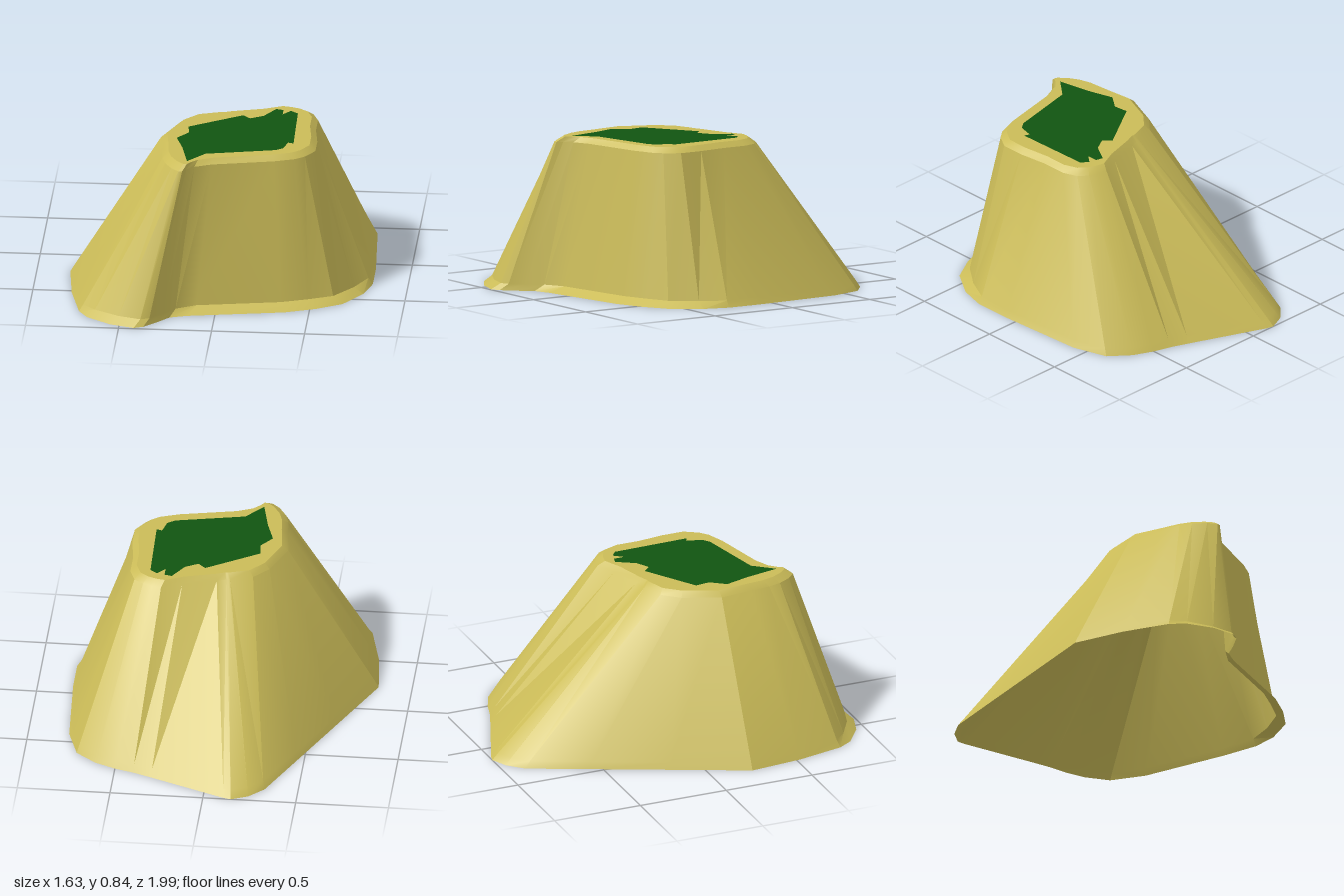
import * as THREE from 'three';
import { toCreasedNormals } from 'three/addons/utils/BufferGeometryUtils.js';

const BASE_Y = 0.004, FOOT_Y = 0.035, RIM_Y = 0.808, TOP_Y = 0.836;

// Ribs round the hill: base x, z, rim x, z, and how far the foot steps in from the base
const ribs = [
  [-0.15, -1.0, -0.03, -0.07, 0.04], [-0.11, -0.99, 0.02, -0.09, 0.04],
  [0.3, -0.82, 0.2, -0.14, 0.04], [0.4, -0.78, 0.31, -0.19, 0.04],
  [0.5, -0.75, 0.36, -0.18, 0.04], [0.61, -0.7, 0.41, -0.16, 0.04],
  [0.72, -0.61, 0.46, -0.12, 0.04], [0.78, -0.42, 0.49, -0.04, 0.06],
  [0.81, 0.07, 0.49, 0.1, 0.06], [0.81, 0.28, 0.51, 0.26, 0.08],
  [0.77, 0.42, 0.51, 0.39, 0.2], [0.67, 0.57, 0.46, 0.47, 0.25],
  [0.53, 0.65, 0.41, 0.51, 0.35], [0.37, 0.71, 0.3, 0.55, 0.36],
  [-0.15, 0.8, -0.03, 0.62, 0.38], [-0.24, 0.83, -0.12, 0.66, 0.25],
  [-0.3, 0.9, -0.16, 0.7, 0.2], [-0.37, 0.97, -0.18, 0.73, 0.16],
  [-0.42, 0.99, -0.2, 0.73, 0.15], [-0.55, 0.95, -0.24, 0.69, 0.14],
  [-0.68, 0.86, -0.28, 0.62, 0.1], [-0.73, 0.78, -0.3, 0.55, 0.05],
  [-0.79, 0.52, -0.31, 0.44, 0.04], [-0.82, 0.23, -0.33, 0.26, 0.04],
  [-0.64, -0.17, -0.25, 0.06, 0.04], [-0.46, -0.57, -0.17, -0.03, 0.04],
  [-0.32, -0.88, -0.05, -0.07, 0.04], [-0.24, -0.96, -0.04, -0.07, 0.04],
];

// Ragged outline of the grass, x and z
const grassOutline = [
  [-0.19, 0.17], [0.09, -0.01], [0.13, 0.03], [0.2, -0.01], [0.26, -0.11], [0.3, -0.1],
  [0.3, -0.04], [0.34, -0.09], [0.38, -0.06], [0.39, 0.36], [0.36, 0.35], [0.34, 0.43],
  [0.3, 0.46], [-0.07, 0.54], [-0.16, 0.65], [-0.2, 0.46], [-0.24, 0.33], [-0.18, 0.25],
];

const mix = THREE.MathUtils.lerp;

// Skin of quads between successive closed rings, listed from bottom to top
function loft(rings) {
  const positions = [];
  for (let r = 0; r < rings.length - 1; r++) {
    const low = rings[r], high = rings[r + 1];
    low.forEach((a, i) => {
      const j = (i + 1) % low.length;
      positions.push(...low[j], ...a, ...high[i], ...low[j], ...high[i], ...high[j]);
    });
  }
  const geometry = new THREE.BufferGeometry();
  geometry.setAttribute('position', new THREE.Float32BufferAttribute(positions, 3));
  return toCreasedNormals(geometry, 0.4);
}

// Level sheet bounded by x, z points, with an optional hole
function sheet(outline, hole) {
  const points = (list) => list.map(([x, z]) => new THREE.Vector2(x, -z));
  const shape = new THREE.Shape(points(outline));
  if (hole) shape.holes.push(new THREE.Path(points(hole)));
  return new THREE.ShapeGeometry(shape).rotateX(-Math.PI / 2).translate(0, TOP_Y, 0);
}

export function createModel() {
  const group = new THREE.Group();
  group.name = 'hill';
  const earth = new THREE.MeshStandardMaterial({ color: 0xcbbc58, side: THREE.DoubleSide });
  const grass = new THREE.MeshStandardMaterial({ color: 0x115511, side: THREE.DoubleSide });
  const add = (name, geometry, material) => {
    const mesh = new THREE.Mesh(geometry, material);
    mesh.name = name;
    group.add(mesh);
  };

  // Hollow slopes: base lip, foot, rim and the bevel up to the plateau
  const base = ribs.map(([x, z]) => [x, BASE_Y - 0.004, z]);
  const foot = ribs.map(([x, z, rx, rz, t]) => [mix(x, rx, t), FOOT_Y, mix(z, rz, t)]);
  const rim = ribs.map(([, , rx, rz]) => [rx, RIM_Y, rz]);
  const edge = ribs.map(([, , rx, rz]) => [mix(rx, 0.1, 0.08), TOP_Y, mix(rz, 0.25, 0.08)]);
  add('slopes', loft([base, foot, rim, edge]), earth);

  // Plateau border with the grass set into it
  add('plateauBorder', sheet(edge.map(([x, , z]) => [x, z]), grassOutline), earth);
  add('grassTop', sheet(grassOutline), grass);
  return group;
}
